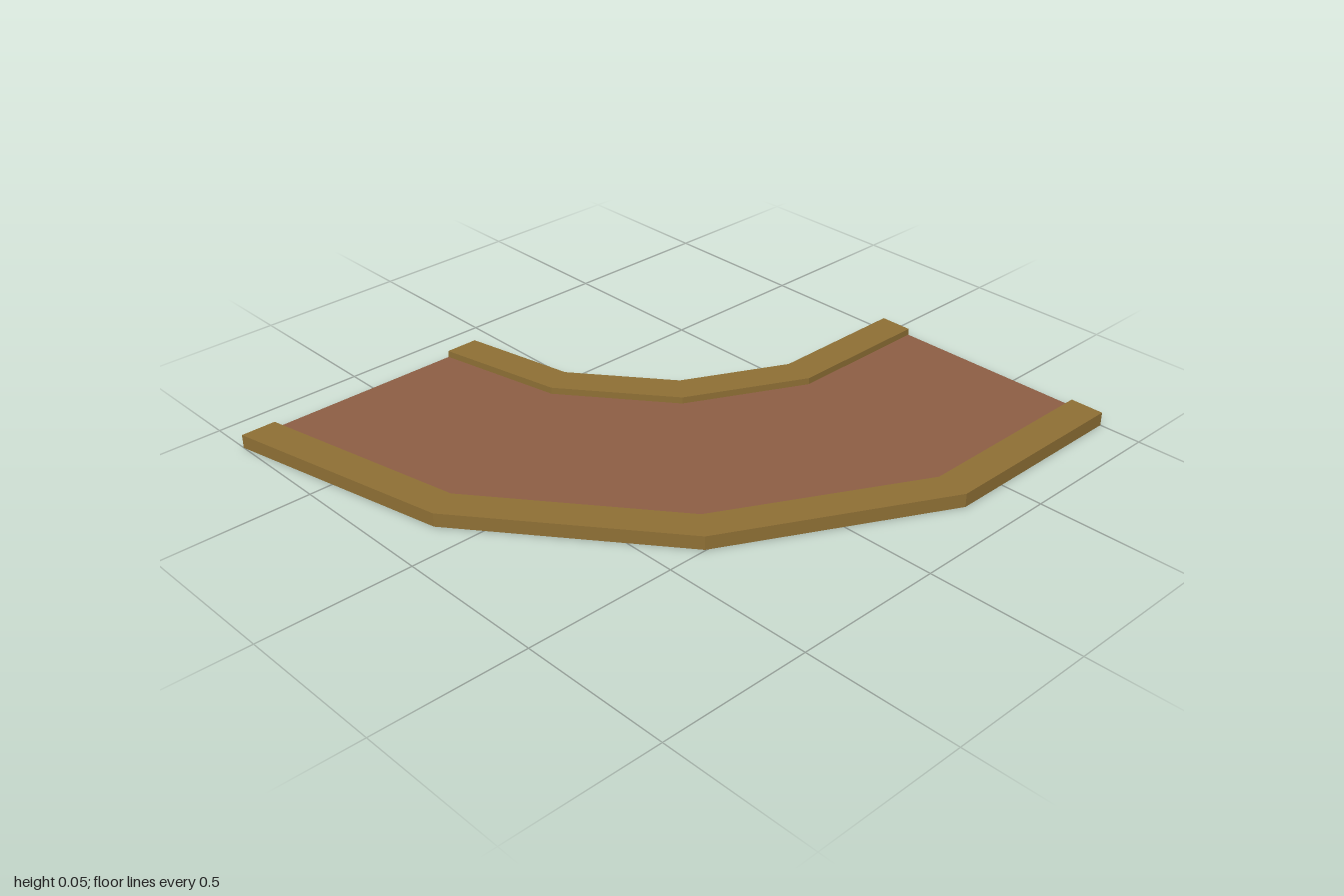
import * as THREE from 'three';

const TOP = 0.045, ROAD = 0.023, BASE = 0;

// Plan outlines of the bend as [x, z], from the left end round to the back end
const outerEdge = [[-0.86, 1], [-0.115, 0.84], [0.497, 0.365], [0.86, -0.33], [0.86, -1]];
const outerLip = [[-0.86, 0.885], [-0.163, 0.74], [0.41, 0.295], [0.747, -0.345], [0.747, -1]];
const innerLip = [[-0.86, 0.22], [-0.437, 0.133], [-0.105, -0.125], [0.085, -0.505], [0.085, -1]];
const innerEdge = [[-0.86, 0.11], [-0.485, 0.035], [-0.19, -0.195], [-0.025, -0.527], [-0.025, -1]];

const rail = (points, y) => points.map(([x, z]) => [x, y, z]);

// Flat-shaded surface stretched between consecutive rails
function skin(rails) {
  const pos = [];
  for (let r = 0; r < rails.length - 1; r++) {
    const a = rails[r], b = rails[r + 1];
    for (let i = 0; i < a.length - 1; i++) {
      pos.push(...a[i], ...a[i + 1], ...b[i + 1], ...a[i], ...b[i + 1], ...b[i]);
    }
  }
  const geo = new THREE.BufferGeometry();
  geo.setAttribute('position', new THREE.Float32BufferAttribute(pos, 3));
  geo.computeVertexNormals();
  return geo;
}

export function createModel() {
  const kerb = new THREE.MeshStandardMaterial({ color: 0x8f7035, side: THREE.DoubleSide });
  kerb.name = 'ochre kerb';
  const dirt = new THREE.MeshStandardMaterial({ color: 0x8e5f45, side: THREE.DoubleSide });
  dirt.name = 'brown road';

  const model = new THREE.Group();
  model.name = 'curvedRoad';
  const add = (name, rails, material) => {
    const mesh = new THREE.Mesh(skin(rails), material);
    mesh.name = name;
    model.add(mesh);
  };

  // Kerbs are hollow: outside wall, top and a short step down to the road
  add('outerKerb', [rail(outerEdge, BASE), rail(outerEdge, TOP), rail(outerLip, TOP), rail(outerLip, ROAD)], kerb);
  add('innerKerb', [rail(innerLip, ROAD), rail(innerLip, TOP), rail(innerEdge, TOP), rail(innerEdge, BASE)], kerb);

  // Sunken road sheet between the kerbs
  add('road', [rail(outerLip, ROAD), rail(innerLip, ROAD)], dirt);

  return model;
}
